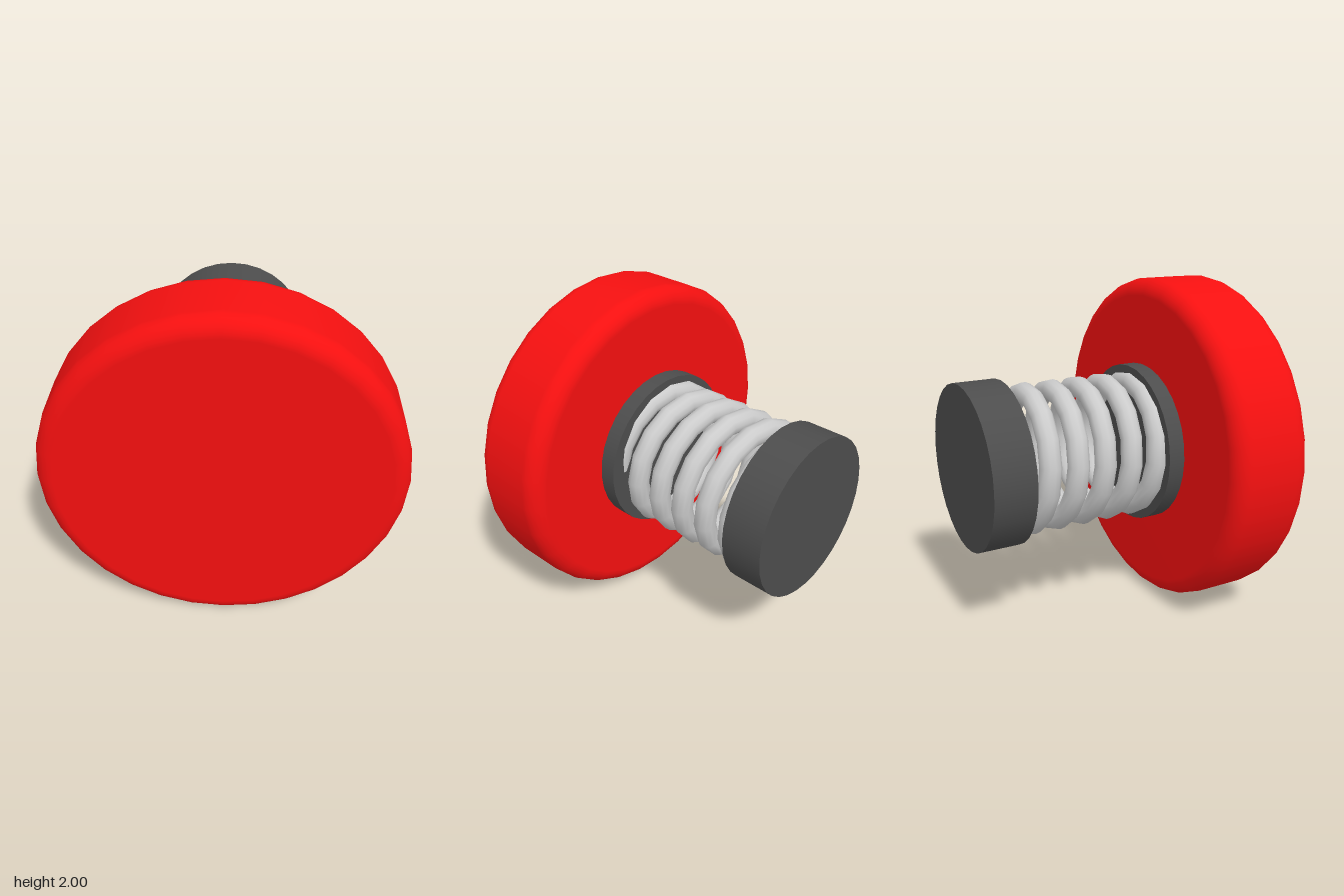
import * as THREE from 'three';

const RED = 0xf51010, DARK = 0x4d4d4d, GREY = 0xcccccc;
const SIDES = 32, AXIS_Y = 1;

// Helical centre line running backwards along z
class Helix extends THREE.Curve {
  constructor(radius, pitch, zRef, zStart, zEnd) {
    super();
    Object.assign(this, { radius, pitch, zRef, zStart, zEnd });
  }
  getPoint(t, target = new THREE.Vector3()) {
    const z = THREE.MathUtils.lerp(this.zStart, this.zEnd, t);
    const a = ((this.zRef - z) / this.pitch) * Math.PI * 2;
    return target.set(Math.cos(a) * this.radius, Math.sin(a) * this.radius, z);
  }
}

function addPart(group, name, geometry, color) {
  const mesh = new THREE.Mesh(geometry, new THREE.MeshStandardMaterial({ color }));
  mesh.name = name;
  mesh.position.y = AXIS_Y;
  group.add(mesh);
  return mesh;
}

// Cylinder lying along z between two depths
function disc(radius, zBack, zFront) {
  return new THREE.CylinderGeometry(radius, radius, zFront - zBack, SIDES)
    .rotateX(Math.PI / 2)
    .translate(0, 0, (zBack + zFront) / 2);
}

// Lathed cap with rounded front and back rims
function roundedCap(radius, zBack, zFront, fillet) {
  const profile = [new THREE.Vector2(0, zBack)];
  const steps = 6;
  for (const [zc, start] of [[zBack + fillet, -Math.PI / 2], [zFront - fillet, 0]]) {
    for (let i = 0; i <= steps; i++) {
      const a = start + (i / steps) * (Math.PI / 2);
      profile.push(new THREE.Vector2(
        radius - fillet + Math.cos(a) * fillet, zc + Math.sin(a) * fillet));
    }
  }
  profile.push(new THREE.Vector2(0, zFront));
  return new THREE.LatheGeometry(profile, SIDES).rotateX(Math.PI / 2);
}

export function createModel() {
  const group = new THREE.Group();
  group.name = 'springButton';

  // Large push cap at the front
  addPart(group, 'buttonCap', roundedCap(1, 0.34, 0.84, 0.1), RED);

  // Collar behind the cap and base block at the back
  addPart(group, 'collar', disc(0.485, 0.24, 0.345), DARK);
  addPart(group, 'base', disc(0.485, -0.84, -0.59), DARK);

  // Coil spring, its ends seated inside collar and base
  const helix = new Helix(0.385, 0.172, 0.13, 0.3, -0.66);
  const spring = addPart(group, 'spring',
    new THREE.TubeGeometry(helix, 90, 0.063, 12, false), GREY);
  spring.material.side = THREE.DoubleSide;

  return group;
}
